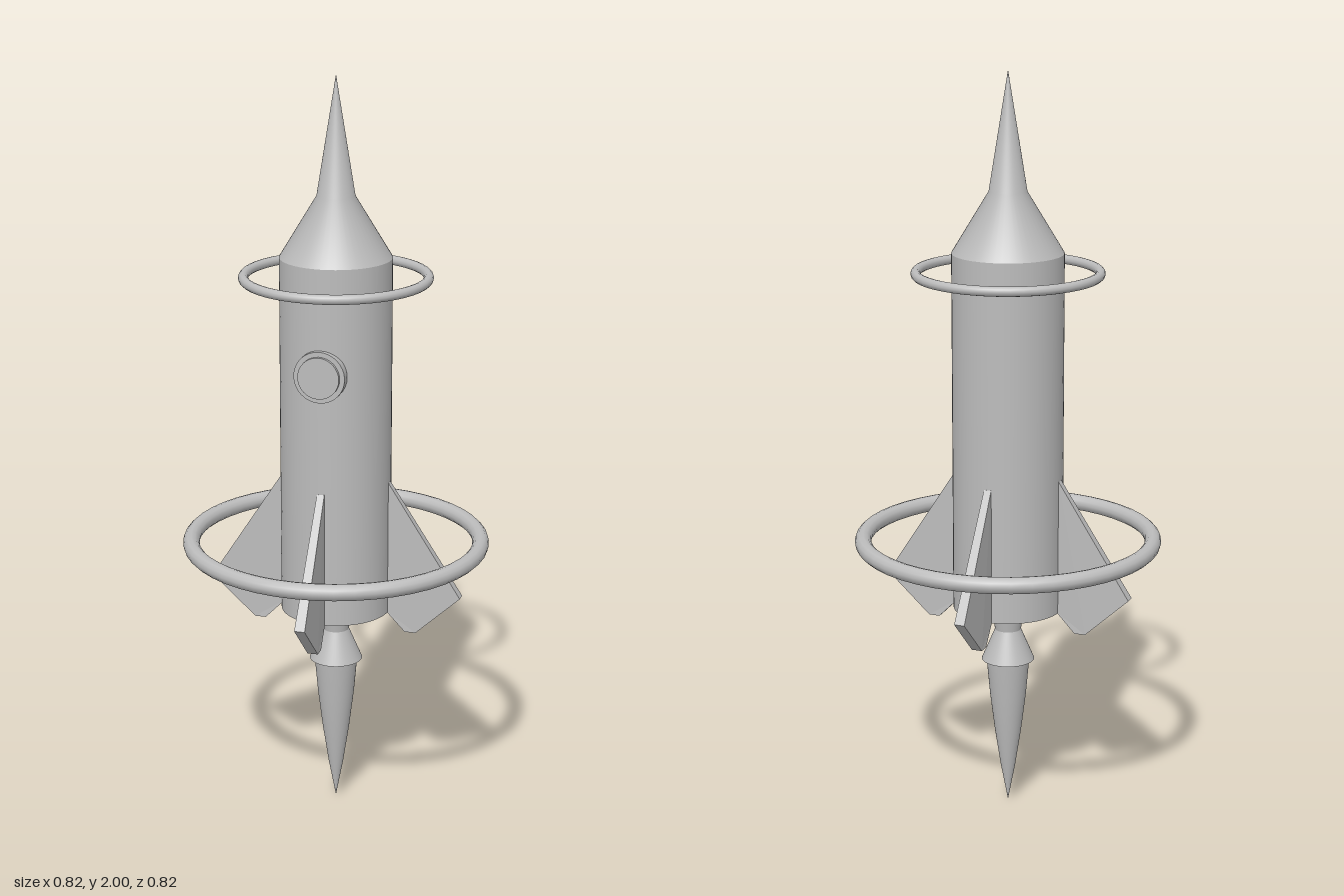
import * as THREE from 'three';

export function createModel() {
  const model = new THREE.Group();
  model.name = 'rocket';
  const grey = new THREE.MeshStandardMaterial({ color: 0xbcbcbc });
  grey.name = 'light grey';

  function add(name, geometry, parent = model) {
    const mesh = new THREE.Mesh(geometry, grey);
    mesh.name = name;
    parent.add(mesh);
    return mesh;
  }
  // Upright round section between two heights
  function section(name, rBottom, rTop, y0, y1) {
    add(name, new THREE.CylinderGeometry(rTop, rBottom, y1 - y0, 48)).position.y = (y0 + y1) / 2;
  }
  const lathe = (points) =>
    new THREE.LatheGeometry(points.map(([r, y]) => new THREE.Vector2(r, y)), 48);

  // Hull and flared nose ending in a long spike
  section('hull', 0.147, 0.147, 0.565, 1.53);
  add('nose', lathe([[0.147, 1.53], [0.05, 1.69], [0, 2]]));

  // Engine: tapered neck, flared bell and exhaust flame
  section('engineNeck', 0.035, 0.045, 0.5, 0.565);
  section('engineBell', 0.071, 0.035, 0.415, 0.5);
  add('flame', lathe([[0, 0], [0.02, 0.105], [0.036, 0.21], [0.049, 0.315], [0.058, 0.416]]));

  // Floating rings around the hull
  for (const [name, radius, tube, y] of [
    ['upperRing', 0.24, 0.013, 1.477],
    ['lowerRing', 0.387, 0.022, 0.755],
  ]) {
    const ring = add(name, new THREE.TorusGeometry(radius, tube, 12, 48));
    ring.rotation.x = Math.PI / 2;
    ring.position.y = y;
  }

  // Round porthole on the front: frame and raised pane
  for (const [name, radius, z0, z1] of [
    ['portholeFrame', 0.068, 0.135, 0.16],
    ['portholePane', 0.055, 0.15, 0.169],
  ]) {
    const disc = add(name, new THREE.CylinderGeometry(radius, radius, z1 - z0, 32));
    disc.rotation.x = Math.PI / 2;
    disc.position.set(0, 1.25, (z0 + z1) / 2);
  }

  // Swept fins, thinner at the root than outside
  const outline = new THREE.Shape([
    [0.14, 0.57], [0.195, 0.515], [0.225, 0.515], [0.345, 0.625], [0.147, 0.93], [0.14, 0.93],
  ].map(([x, y]) => new THREE.Vector2(x, y)));
  const finGeometry = new THREE.ExtrudeGeometry(outline, { depth: 2, bevelEnabled: false });
  finGeometry.translate(0, 0, -1);
  const pos = finGeometry.attributes.position;
  for (let i = 0; i < pos.count; i++) {
    pos.setZ(i, pos.getZ(i) * (pos.getX(i) < 0.17 ? 0.01 : 0.014));
  }
  finGeometry.computeVertexNormals();
  const fins = new THREE.Group();
  fins.name = 'fins';
  model.add(fins);
  ['leftFin', 'backFin', 'rightFin', 'frontFin'].forEach((name, i) => {
    add(name, finGeometry, fins).rotation.y = (i * Math.PI) / 2;
  });

  return model;
}
